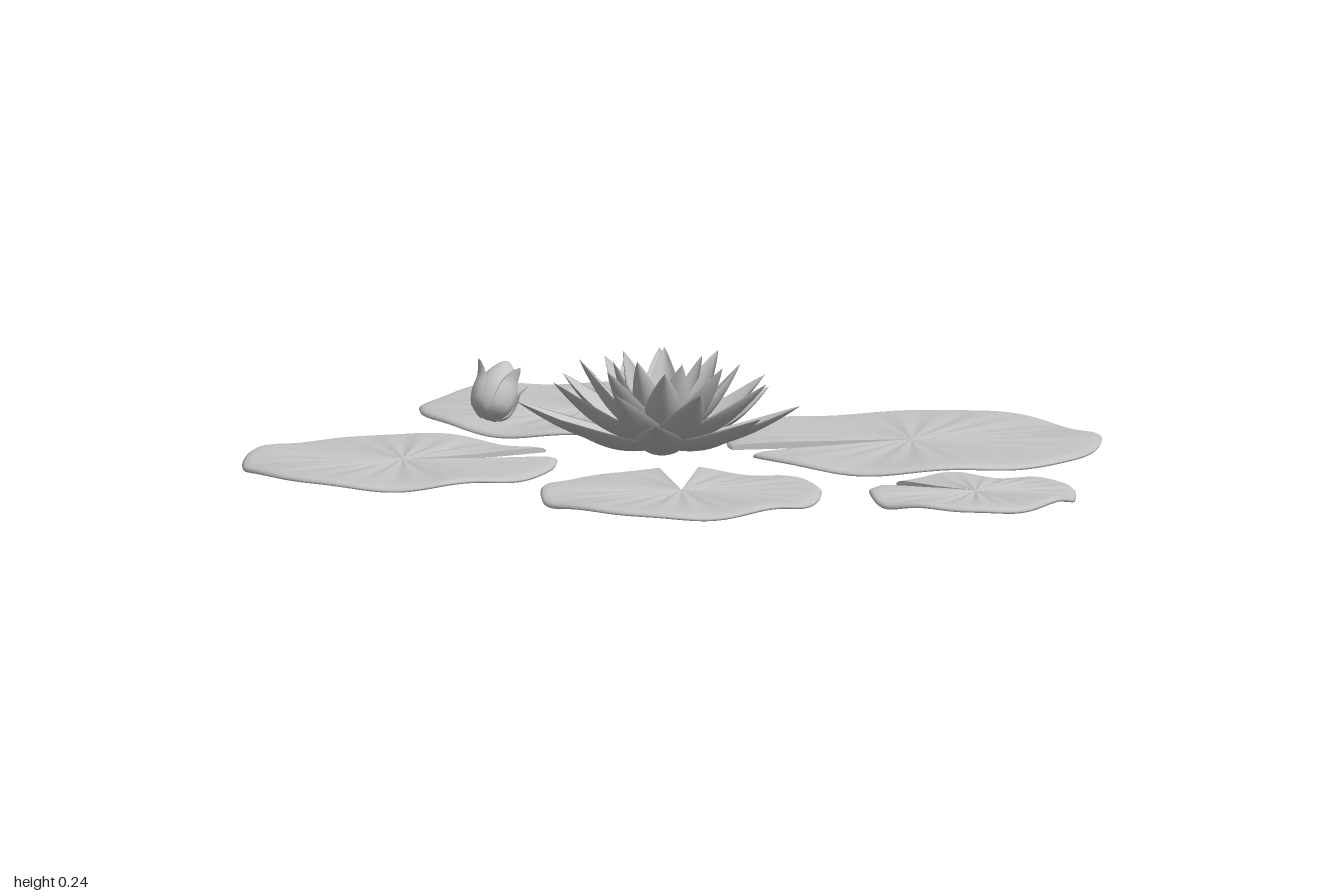
import * as THREE from 'three';
import { mergeGeometries } from 'three/addons/utils/BufferGeometryUtils.js';

const TAU = Math.PI * 2;
const grey = new THREE.MeshStandardMaterial({ color: 0xc4c4c4 });
grey.name = 'pale grey';

// Smooth surface through a grid of points given by point(i, j)
function gridSurface(rows, cols, point) {
  const pos = [], idx = [];
  for (let i = 0; i <= rows; i++) for (let j = 0; j <= cols; j++) pos.push(...point(i, j));
  for (let i = 0; i < rows; i++) for (let j = 0; j < cols; j++) {
    const a = i * (cols + 1) + j, b = a + cols + 1;
    idx.push(a, b, a + 1, b, b + 1, a + 1);
  }
  const g = new THREE.BufferGeometry();
  g.setAttribute('position', new THREE.Float32BufferAttribute(pos, 3));
  g.setIndex(idx);
  g.computeVertexNormals();
  return g;
}

function addMesh(parent, geometry, name) {
  const m = new THREE.Mesh(geometry, grey);
  m.name = name;
  parent.add(m);
  return m;
}

// Notched, wavy floating leaf: radial profile swept from angle a0 to a1 (degrees)
function lilyPad({ c, apex, r, a0, a1, y, phase }) {
  const half = [[0, 0.006], [0.12, 0.006], [0.3, 0.006], [0.5, 0.006], [0.7, 0.007],
    [0.85, 0.007], [0.94, 0.006], [0.98, 0.003], [1, -0.002]];
  const n = half.length;
  const profile = [...half, ...half.slice().reverse().map(([t, h]) => [t * 0.995, Math.min(-0.007, -h)])];
  const at = (a, j) => {
    const [t, h] = profile[j];
    const wave = t * t * (0.006 * Math.sin(5 * a + phase) + 0.003 * Math.sin(8 * a + phase * 2));
    const veins = j < n ? 0.0022 * Math.cos(22 * a) * Math.sin(Math.PI * Math.min(1, t * 1.05)) : 0;
    const R = r * (1 + 0.008 * Math.sin(4 * a + phase));
    return [
      apex[0] * (1 - t) + (c[0] + R * Math.cos(a)) * t,
      y + h + wave + veins,
      apex[1] * (1 - t) + (c[1] + R * Math.sin(a)) * t,
    ];
  };
  const s = THREE.MathUtils.degToRad(a0), e = THREE.MathUtils.degToRad(a1);
  const last = profile.length - 1, steps = 144;
  return mergeGeometries([
    gridSurface(steps, last, (i, j) => at(s + (e - s) * i / steps, j)),
    gridSurface(n - 1, 1, (i, j) => at(s, j ? last - i : i)),
    gridSurface(n - 1, 1, (i, j) => at(e, j ? i : last - i)),
  ]);
}

// Pointed, cupped petal growing along +z and rising to its tip
function petal({ start, reach, base, tip, width, cup, bend }) {
  const rows = 14, around = 16;
  return gridSurface(rows, around, (i, j) => {
    const u = i / rows;
    const w = width * (0.28 * (1 - u) + Math.pow(Math.sin(Math.PI * Math.pow(u, 0.85)), 0.85) * 0.9) * 0.5;
    const a = -TAU * j / around;
    const x = Math.cos(a);
    const thick = 0.1 * Math.sin(a) * w;
    const z = start + (reach - start) * u;
    const h = base + (tip - base) * u - bend * Math.sin(Math.PI * u);
    // sides rise above the midrib, square to the petal's slope
    const lift = cup * w * (x * x - 0.5) + thick;
    const slope = Math.atan2(tip - base, reach - start);
    return [x * w, h + lift * Math.cos(slope), z - lift * Math.sin(slope)];
  });
}

function createFlower() {
  const flower = new THREE.Group();
  flower.name = 'flower';
  const rings = [
    { name: 'outerPetal', count: 8, turn: 0, start: 0.02, reach: 0.335, base: 0.035, tip: 0.135, width: 0.105, cup: 0.45, bend: 0.016 },
    { name: 'secondPetal', count: 8, turn: 0.5, start: 0.02, reach: 0.265, base: 0.045, tip: 0.195, width: 0.1, cup: 0.5, bend: 0.018 },
    { name: 'thirdPetal', count: 8, turn: 0.1, start: 0.02, reach: 0.19, base: 0.055, tip: 0.235, width: 0.09, cup: 0.55, bend: 0.02 },
    { name: 'innerPetal', count: 7, turn: 0.5, start: 0.025, reach: 0.12, base: 0.065, tip: 0.245, width: 0.08, cup: 0.6, bend: 0.02 },
  ];
  for (const ring of rings) {
    const g = petal(ring);
    for (let k = 0; k < ring.count; k++) {
      const m = addMesh(flower, g, ring.name);
      m.rotation.y = TAU * (k + ring.turn) / ring.count;
      m.scale.setScalar(1 + 0.03 * Math.sin(k * 2.3));
    }
  }
  // Base cup under the petals
  const base = addMesh(flower, new THREE.SphereGeometry(0.055, 20, 12), 'flowerBase');
  base.scale.y = 0.6;
  base.position.y = 0.045;
  // Seed head and stamens
  const core = addMesh(flower, new THREE.SphereGeometry(0.045, 24, 16), 'seedHead');
  core.scale.y = 0.8;
  core.position.y = 0.105;
  const stamen = new THREE.CylinderGeometry(0.003, 0.005, 0.07, 6);
  const anther = new THREE.SphereGeometry(0.007, 8, 6);
  for (let k = 0; k < 14; k++) {
    const holder = new THREE.Group();
    holder.name = 'stamen';
    holder.rotation.y = TAU * k / 14;
    const s = addMesh(holder, stamen, 'filament');
    s.position.set(0, 0.1, 0.055);
    s.rotation.x = 0.3;
    addMesh(holder, anther, 'anther').position.set(0, 0.135, 0.066);
    flower.add(holder);
  }
  flower.position.set(-0.025, 0, 0);
  return flower;
}

function createBud() {
  const bud = new THREE.Group();
  bud.name = 'bud';
  // Closed bud body
  const outline = [[0, 0], [0.024, 0.004], [0.042, 0.025], [0.049, 0.055], [0.046, 0.085], [0.034, 0.115], [0.017, 0.14], [0, 0.152]]
    .map(([x, y]) => new THREE.Vector2(x, y));
  const curve = new THREE.SplineCurve(outline).getPoints(24);
  curve.forEach(p => { p.x = Math.max(0, p.x); });
  addMesh(bud, new THREE.LatheGeometry(curve, 24), 'budBody');
  // Sepals hugging the body, tips flaring out
  const path = [[0.012, -0.004], [0.045, 0.018], [0.057, 0.055], [0.058, 0.09], [0.075, 0.122]];
  const spine = new THREE.SplineCurve(path.map(([x, y]) => new THREE.Vector2(x, y)));
  const rows = 12, around = 12;
  const sepal = gridSurface(rows, around, (i, j) => {
    const u = i / rows, p = spine.getPoint(u);
    const w = 0.027 * Math.pow(Math.sin(Math.PI * (0.1 + 0.9 * u)), 0.8);
    const a = -TAU * j / around, x = Math.cos(a);
    return [x * w, p.y, p.x - 0.3 * w * x * x - 0.003 * Math.sin(a) * (1 - u)];
  });
  for (let k = 0; k < 4; k++) addMesh(bud, sepal, 'sepal').rotation.y = TAU * (k + 0.4) / 4;
  bud.position.set(-0.45, 0.042, -0.335);
  bud.rotation.set(-0.55, 0, -0.3);
  return bud;
}

export function createModel() {
  const model = new THREE.Group();
  model.name = 'waterLily';
  const pads = [
    { name: 'backPad', c: [-0.235, -0.575], apex: [-0.225, -0.55], r: 0.384, a0: 78.7, a1: 418, y: 0.026, phase: 0.4 },
    { name: 'largePad', c: [0.562, -0.117], apex: [0.556, -0.11], r: 0.437, a0: 165, a1: 508, y: 0.03, phase: 1.5 },
    { name: 'rightPad', c: [-0.632, 0.2], apex: [-0.625, 0.2], r: 0.368, a0: -5.5, a1: 335.6, y: 0.026, phase: 2.6 },
    { name: 'frontPad', c: [0.047, 0.618], apex: [0.047, 0.605], r: 0.331, a0: 275, a1: 618, y: 0.024, phase: 3.7 },
    { name: 'smallPad', c: [0.73, 0.6], apex: [0.738, 0.6], r: 0.245, a0: 221, a1: 561, y: 0.026, phase: 4.8 },
  ];
  for (const p of pads) addMesh(model, lilyPad(p), p.name);
  model.add(createFlower(), createBud());
  return model;
}
